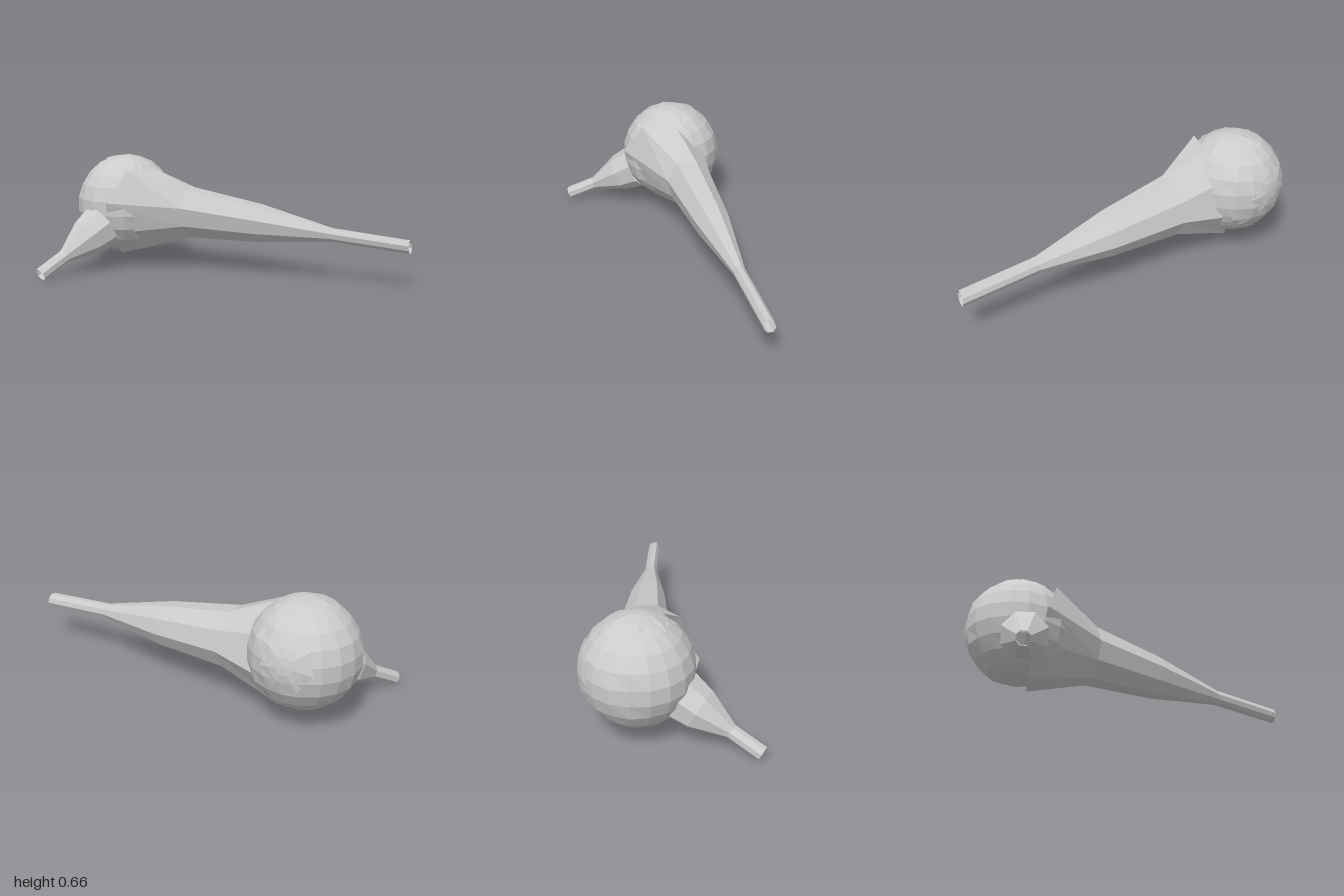
import * as THREE from 'three';

const material = new THREE.MeshStandardMaterial({
  color: 0xcccccc, flatShading: true, side: THREE.DoubleSide,
});
const V = (x, y, z) => new THREE.Vector3(x, y, z);

function addMesh(group, name, geometry) {
  const mesh = new THREE.Mesh(geometry, material);
  mesh.name = name;
  group.add(mesh);
  return mesh;
}

// Open tube through a list of rings, each an array of the same number of points
function loft(rings) {
  const n = rings[0].length;
  const positions = rings.flat().flatMap((p) => [p.x, p.y, p.z]);
  const index = [];
  for (let r = 0; r < rings.length - 1; r++) {
    for (let i = 0; i < n; i++) {
      const a = r * n + i, b = r * n + (i + 1) % n;
      index.push(a, b, b + n, a, b + n, a + n);
    }
  }
  const geometry = new THREE.BufferGeometry();
  geometry.setAttribute('position', new THREE.Float32BufferAttribute(positions, 3));
  geometry.setIndex(index);
  const flat = geometry.toNonIndexed();
  flat.computeVertexNormals();
  return flat;
}

// Pushes vertices in and out along the radius by a smooth repeatable rule
function roughen(geometry, amount) {
  const pos = geometry.attributes.position;
  const p = V(0, 0, 0);
  for (let i = 0; i < pos.count; i++) {
    p.fromBufferAttribute(pos, i);
    const wave = Math.sin(p.x * 31 + 1) * Math.cos(p.y * 27) * Math.sin(p.z * 29 + 2);
    p.multiplyScalar(1 + amount * wave);
    pos.setXYZ(i, p.x, p.y, p.z);
  }
  const flat = geometry.toNonIndexed();
  flat.computeVertexNormals();
  return flat;
}

export function createModel() {
  const group = new THREE.Group();
  const centre = V(-0.71, 0.372, -0.172);

  // Round body
  const body = addMesh(group, 'body', roughen(new THREE.SphereGeometry(0.288, 18, 11), 0.015));
  body.position.copy(centre);

  // Loose, slightly raised shell patches: direction and angular size
  const patches = [
    [V(0.2, 1, 0.1), 0.62],
    [V(0.4, -0.75, -0.5), 0.55],
    [V(-0.25, 0.15, -1), 0.5],
  ];
  for (const [direction, angle] of patches) {
    const cap = new THREE.SphereGeometry(0.29, 7, 3, 0, Math.PI * 2, 0, angle);
    const patch = addMesh(group, 'shellPatch', roughen(cap, 0.012));
    patch.position.copy(centre);
    patch.quaternion.setFromUnitVectors(V(0, 1, 0), direction.normalize());
  }

  // Long neck: one octagon, scaled and moved along x; its root slants over the body
  const half = [[0.245, 0.073], [0.195, -0.117], [0.055, -0.252], [-0.145, -0.253]];
  const octagon = [...half, ...half.map(([z, y]) => [-z, -y])];
  const neckRings = [
    // x, y, z, scale, slant
    [-0.6, 0.337, -0.12, 1, 1],
    [-0.275, 0.34, -0.205, 0.57, 0],
    [0.14, 0.307, -0.24, 0.425, 0],
    [0.57, 0.272, -0.272, 0.148, 0],
    [1.0, 0.24, -0.305, 0.142, 0],
  ].map(([x, y, z, s, slant]) => octagon.map(([dz, dy]) =>
    V(x + slant * (0.25 * dy - 0.3 * dz), y + s * dy, z + s * dz)));
  addMesh(group, 'longNeck', loft(neckRings));

  // Short spout: octagons square to its axis
  const spout = [
    [V(-0.75, 0.255, 0.045), 0.132],
    [V(-0.785, 0.2, 0.14), 0.112],
    [V(-0.833, 0.117, 0.292), 0.038],
    [V(-0.887, 0.036, 0.447), 0.038],
  ];
  const axis = spout[3][0].clone().sub(spout[0][0]).normalize();
  const side = V(0, 1, 0).cross(axis).normalize();
  const up = axis.clone().cross(side);
  const spoutRings = spout.map(([c, r]) => Array.from({ length: 8 }, (_, i) => {
    const a = (i + 0.5) * Math.PI / 4;
    return c.clone().addScaledVector(side, r * Math.cos(a)).addScaledVector(up, r * Math.sin(a));
  }));
  addMesh(group, 'shortSpout', loft(spoutRings));

  return group;
}
